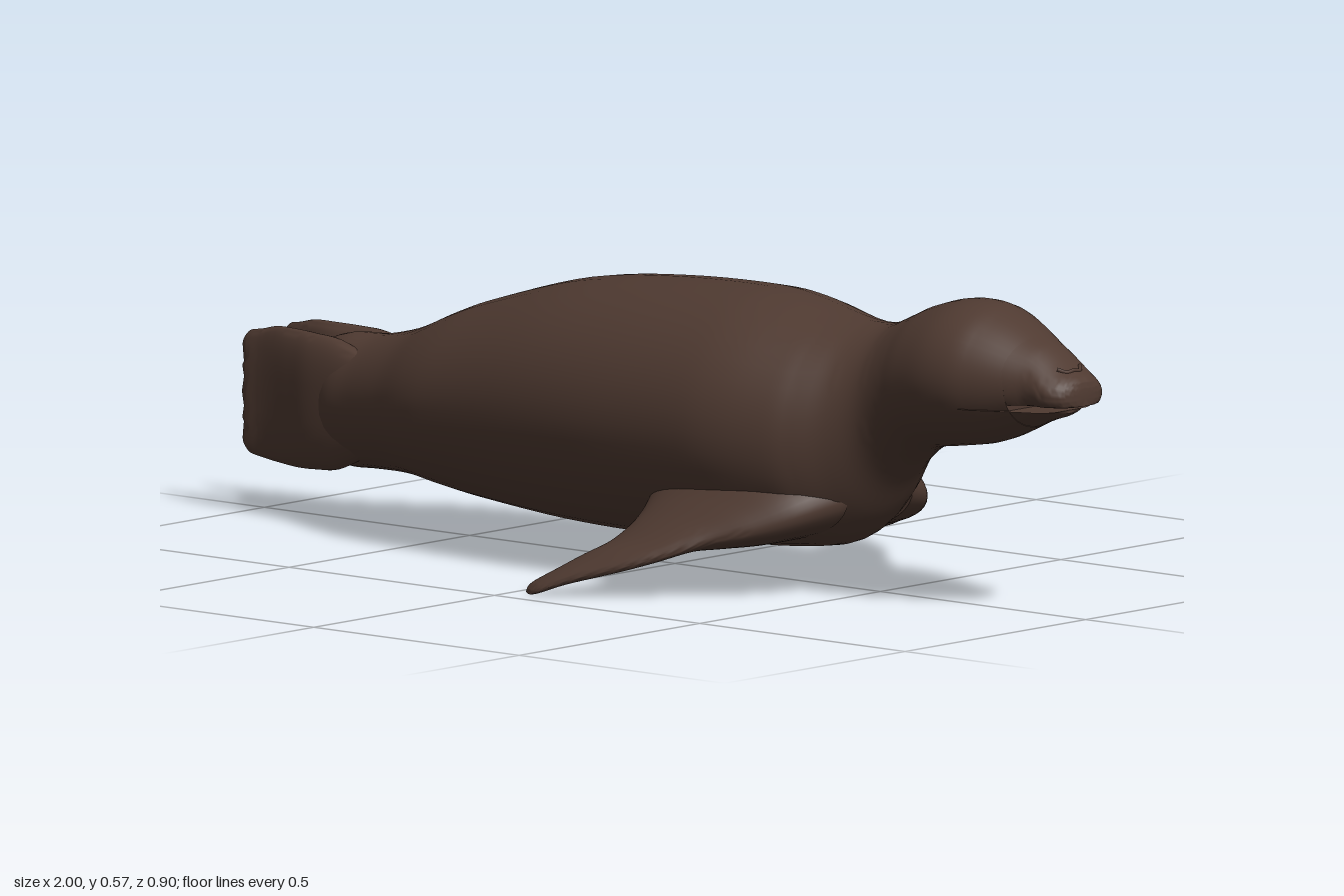
import * as THREE from 'three';
import { toCreasedNormals } from 'three/addons/utils/BufferGeometryUtils.js';

const SIDES = 40;
const hide = new THREE.MeshStandardMaterial({ color: 0x4f3a31 });
hide.name = 'dark brown hide';

// Smoothly interpolate rows of section numbers (Catmull-Rom)
function refine(rows, steps) {
  const out = [];
  for (let i = 0; i < rows.length - 1; i++) {
    const a = rows[Math.max(i - 1, 0)], b = rows[i], c = rows[i + 1], d = rows[Math.min(i + 2, rows.length - 1)];
    for (let k = 0; k < steps; k++) {
      const t = k / steps;
      out.push(b.map((v, j) => v + 0.5 * t * (c[j] - a[j] +
        t * (2 * a[j] - 5 * v + 4 * c[j] - d[j] + t * (3 * (v - c[j]) + d[j] - a[j])))));
    }
  }
  out.push(rows[rows.length - 1]);
  return out;
}

// Skin closed rings; point(row, angle) returns [x, y, z]. Ends are capped.
function loft(name, rows, point, steps = 5) {
  const sections = refine(rows, steps), pos = [], index = [];
  const rings = sections.map(row =>
    Array.from({ length: SIDES }, (_, i) => point(row, i / SIDES * Math.PI * 2)));
  rings.forEach(r => r.forEach(p => pos.push(...p)));
  for (let r = 0; r < rings.length - 1; r++) {
    for (let i = 0; i < SIDES; i++) {
      const a = r * SIDES + i, b = r * SIDES + (i + 1) % SIDES;
      index.push(a, b, a + SIDES, b, b + SIDES, a + SIDES);
    }
  }
  for (const r of [0, rings.length - 1]) {
    const centre = pos.length / 3;
    pos.push(...[0, 1, 2].map(k => rings[r].reduce((s, p) => s + p[k], 0) / SIDES));
    for (let i = 0; i < SIDES; i++) {
      const a = r * SIDES + i, b = r * SIDES + (i + 1) % SIDES;
      if (r === 0) index.push(centre, b, a); else index.push(centre, a, b);
    }
  }
  // Make the faces point outward whichever way the rings were wound
  const at = i => new THREE.Vector3().fromArray(pos, i * 3);
  let volume = 0;
  for (let i = 0; i < index.length; i += 3) {
    volume += at(index[i]).dot(at(index[i + 1]).cross(at(index[i + 2])));
  }
  if (volume < 0) index.reverse();
  const geo = new THREE.BufferGeometry();
  geo.setAttribute('position', new THREE.Float32BufferAttribute(pos, 3));
  geo.setIndex(index);
  const mesh = new THREE.Mesh(toCreasedNormals(geo, 0.9), hide);
  mesh.name = name;
  return mesh;
}

// Upright oval: row = [x, top, bottom, halfWidth]
const oval = ([x, top, bottom, w], a) =>
  [x, (top + bottom) / 2 + (top - bottom) / 2 * Math.sin(a), w * Math.cos(a)];

export function createModel() {
  const seal = new THREE.Group();
  seal.name = 'seal';

  // Body, neck and back of the head
  seal.add(loft('body', [
    [-0.88, 0.29, 0.17, 0.012], [-0.84, 0.33, 0.12, 0.055], [-0.78, 0.35, 0.103, 0.1],
    [-0.7, 0.355, 0.105, 0.125], [-0.6, 0.38, 0.105, 0.163], [-0.5, 0.422, 0.092, 0.203],
    [-0.4, 0.458, 0.08, 0.225], [-0.2, 0.512, 0.063, 0.252], [0, 0.534, 0.058, 0.265],
    [0.2, 0.54, 0.064, 0.262], [0.3, 0.532, 0.068, 0.25], [0.4, 0.512, 0.078, 0.218],
    [0.45, 0.504, 0.095, 0.19], [0.5, 0.501, 0.14, 0.155], [0.55, 0.507, 0.21, 0.131],
    [0.6, 0.528, 0.258, 0.13], [0.65, 0.55, 0.285, 0.14], [0.72, 0.568, 0.296, 0.15],
    [0.78, 0.565, 0.306, 0.144], [0.83, 0.545, 0.322, 0.125], [0.885, 0.515, 0.347, 0.098],
  ], oval));

  // Upper snout and lower jaw, with the open mouth between them
  const snout = [
    [0.8, 0.55, 0.32, 0.13], [0.83, 0.543, 0.325, 0.124], [0.885, 0.515, 0.348, 0.098],
    [0.92, 0.497, 0.362, 0.082], [0.96, 0.466, 0.372, 0.076], [0.985, 0.452, 0.38, 0.062],
    [0.996, 0.442, 0.388, 0.045], [1, 0.43, 0.396, 0.025],
  ];
  seal.add(loft('upperSnout', snout, (row, a) => {
    const [x, y, z] = oval(row, a);
    return [x, Math.max(y, 0.397), z];
  }));
  seal.add(loft('lowerJaw', [...snout.slice(0, 4),
    [0.95, 0.46, 0.372, 0.068], [0.963, 0.44, 0.38, 0.045]], (row, a) => {
    const [x, y, z] = oval(row, a);
    return [x, Math.min(y, 0.386), z];
  }));

  // Nose fold
  const fold = new THREE.CatmullRomCurve3([
    [0.958, 0.464, -0.032], [0.969, 0.458, -0.018], [0.97, 0.46, 0],
    [0.969, 0.458, 0.018], [0.958, 0.464, 0.032]].map(p => new THREE.Vector3(...p)));
  const nose = new THREE.Mesh(new THREE.TubeGeometry(fold, 20, 0.004, 8), hide);
  nose.name = 'noseFold';
  seal.add(nose);

  for (const side of [1, -1]) {
    const label = side > 0 ? 'front' : 'back';

    // Fore flipper: [leadX, leadZ, trailX, trailZ, y, halfThickness]
    seal.add(loft(label + 'ForeFlipper', [
      [0.5, 0.09, 0.1, 0.1, 0.18, 0.09], [0.46, 0.175, 0.12, 0.2, 0.157, 0.07],
      [0.4, 0.235, 0.135, 0.25, 0.132, 0.046], [0.33, 0.285, 0.135, 0.285, 0.111, 0.03],
      [0.27, 0.338, 0.115, 0.32, 0.084, 0.022], [0.21, 0.38, 0.085, 0.36, 0.062, 0.018],
      [0.12, 0.425, 0.05, 0.395, 0.035, 0.014], [0.07, 0.449, 0.022, 0.425, 0.014, 0.01],
      [0.05, 0.452, 0.027, 0.443, 0.006, 0.004],
    ], ([lx, lz, tx, tz, y, t], a) => {
      const k = (1 + Math.cos(a)) / 2;
      return [tx + (lx - tx) * k, y + t * Math.sin(a), side * (tz + (lz - tz) * k)];
    }));

    // Hind flipper: upright paddle [x, top, bottom, z, halfThickness, scallop]
    seal.add(loft(label + 'HindFlipper', [
      [-0.68, 0.32, 0.14, 0.07, 0.03, 0], [-0.76, 0.345, 0.105, 0.064, 0.036, 0],
      [-0.82, 0.35, 0.098, 0.06, 0.036, 0], [-0.87, 0.352, 0.096, 0.054, 0.03, 0],
      [-0.92, 0.352, 0.1, 0.052, 0.02, 0], [-0.96, 0.344, 0.105, 0.052, 0.014, 0.3],
      [-0.99, 0.34, 0.11, 0.055, 0.01, 0.8], [-1, 0.336, 0.114, 0.056, 0.006, 1],
    ], ([x, top, bottom, z, t, scallop], a) => {
      // Squared-off oval with five rounded toes along the rear edge
      const s = Math.sign(Math.sin(a)) * Math.abs(Math.sin(a)) ** 0.7;
      const toe = 1 - Math.abs(Math.sin((s + 1) / 2 * Math.PI * 5));
      return [x + 0.012 * scallop * toe, (top + bottom) / 2 + (top - bottom) / 2 * s,
        side * (z + t * Math.cos(a))];
    }));
  }
  return seal;
}
